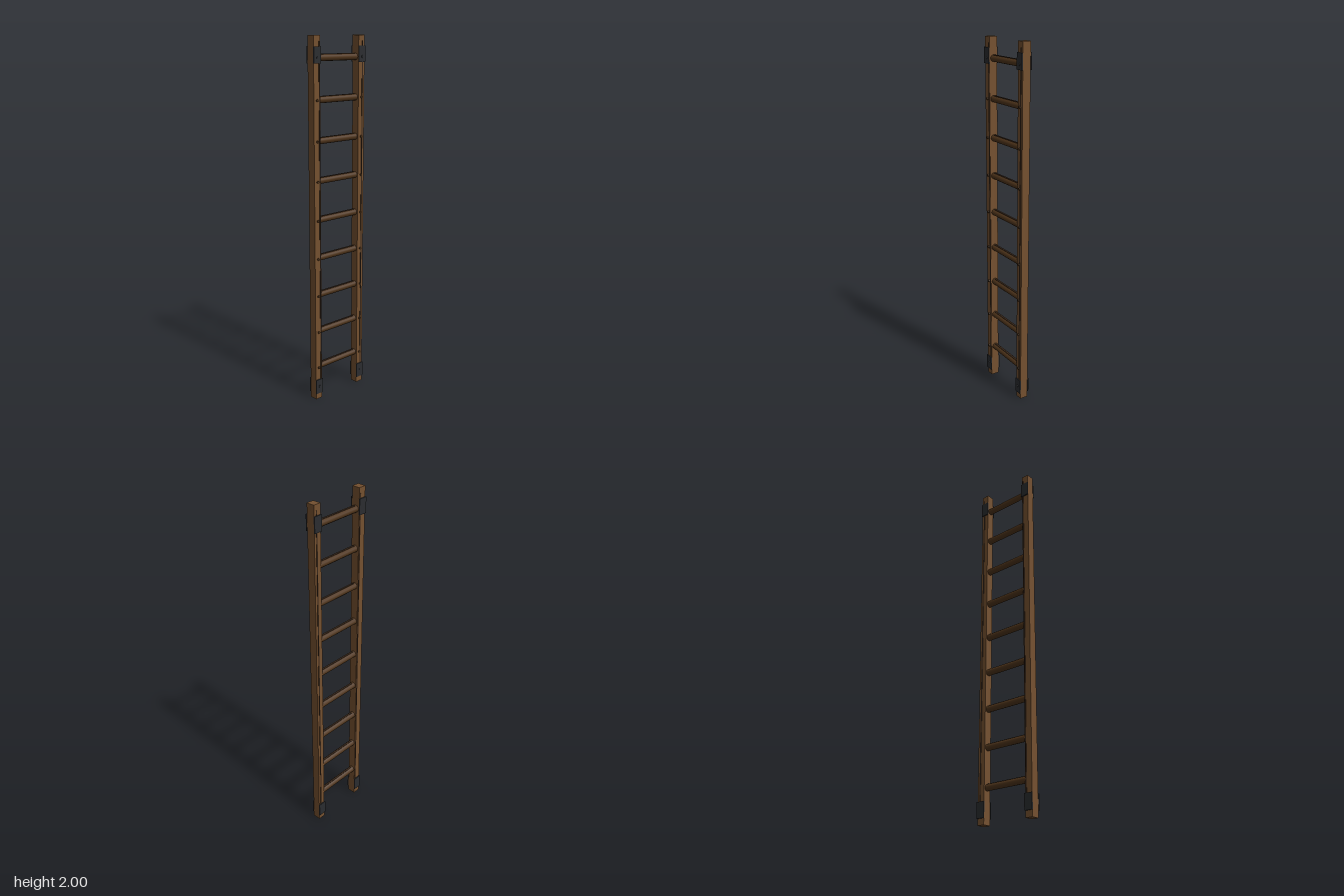
import * as THREE from 'three';

const mat = (name, color, extra = {}) => {
  const m = new THREE.MeshStandardMaterial({ color, ...extra });
  m.name = name;
  return m;
};

export function createModel() {
  const ladder = new THREE.Group();
  ladder.name = 'ladder';
  const railWood = mat('rail wood', 0x74502f);
  const rungWood = mat('rung wood', 0x50351b);
  const grain = mat('dark grain', 0x38271a);
  const iron = mat('dark iron', 0x2a2c2f);

  const add = (name, geometry, material, x, y, z) => {
    const mesh = new THREE.Mesh(geometry, material);
    mesh.name = name;
    mesh.position.set(x, y, z);
    ladder.add(mesh);
    return mesh;
  };
  const box = (name, w, h, d, material, x, y, z) =>
    add(name, new THREE.BoxGeometry(w, h, d), material, x, y, z);
  const pegGeometry = new THREE.CylinderGeometry(0.007, 0.007, 0.01, 8).rotateX(Math.PI / 2);

  const railX = 0.157, midZ = -0.002;
  const rungHeights = Array.from({ length: 9 }, (_, i) => 0.19 + i * 0.2123);

  for (const side of [-1, 1]) {
    const x = side * railX;
    // Upright with a thin dark grain line on its front and back
    box('rail', 0.043, 2, 0.046, railWood, x, 1, midZ);
    for (const face of [-1, 1])
      box('railGrain', 0.006, 1.87, 0.004, grain, x + (side < 0 ? 0.015 : 0.006), 1.035, midZ + face * 0.0235);

    // Iron plates near both ends, front and back
    for (const y of [0.076, 1.903])
      for (const face of [-1, 1])
        box('ironPlate', 0.048, 0.084, 0.006, iron, x, y, midZ + face * 0.026);

    // A peg head where each rung meets the rail
    for (const y of rungHeights) {
      const top = y > 1.85;
      add('peg', pegGeometry, top ? iron : rungWood, x, y, top ? 0.025 : 0.0225);
    }
    add('peg', pegGeometry, iron, x, 0.076, 0.025);
  }

  // Round rungs with a worn strip along the top
  const rungGeometry = new THREE.CylinderGeometry(0.018, 0.018, 0.3, 12).rotateZ(Math.PI / 2);
  for (const y of rungHeights) {
    add('rung', rungGeometry, rungWood, 0, y, -0.003);
    box('rungWear', 0.248, 0.004, 0.011, grain, 0, y + 0.017, -0.002);
  }
  return ladder;
}
